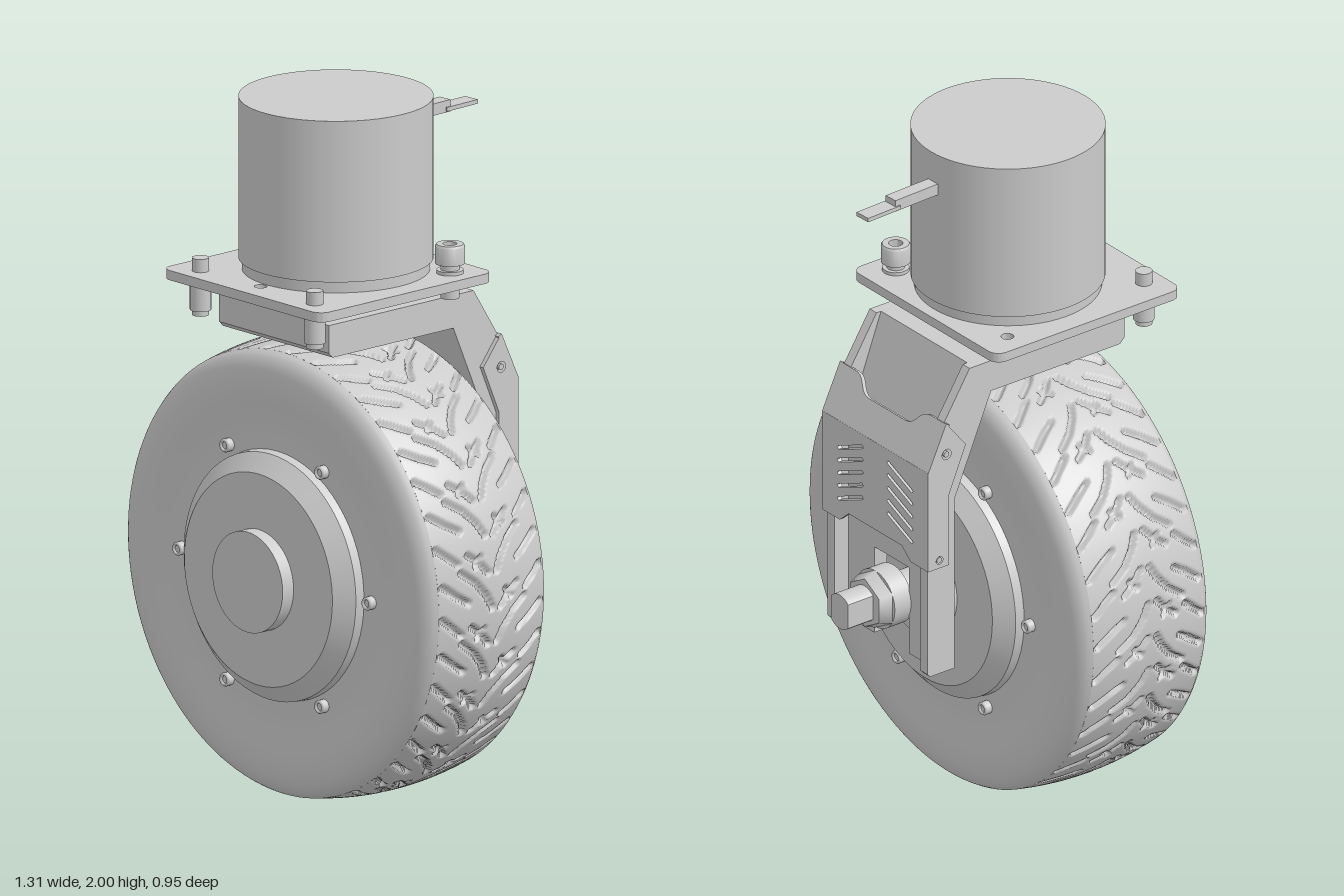
import * as THREE from 'three';
import { toCreasedNormals } from 'three/addons/utils/BufferGeometryUtils.js';

const AXLE_Y = 0.657, MID_Z = 0.116;
const V = (x, y) => new THREE.Vector2(x, y);

export function createModel() {
  const model = new THREE.Group();
  const mat = new THREE.MeshStandardMaterial({ color: 0xcccccc });
  const matDouble = new THREE.MeshStandardMaterial({ color: 0xcccccc, side: THREE.DoubleSide });

  const add = (name, geo, parent = model, material = mat) => {
    const mesh = new THREE.Mesh(geo, material);
    mesh.name = name;
    parent.add(mesh);
    return mesh;
  };
  // Upright cylinder between two heights
  const post = (name, r, y0, y1, x, z, seg = 24, parent = model) =>
    add(name, new THREE.CylinderGeometry(r, r, y1 - y0, seg).translate(x, (y0 + y1) / 2, z), parent);
  // Cylinder or cone along z, radius r0 at z0 and r1 at z1 (z1 > z0)
  const disc = (name, r0, r1, z0, z1, x = 0, y = AXLE_Y, seg = 48, parent = model) =>
    add(name, new THREE.CylinderGeometry(r1, r0, z1 - z0, seg).rotateX(Math.PI / 2).translate(x, y, (z0 + z1) / 2), parent);
  // Side profile of [z, y] points, extruded from x0 to x1
  const sideProfile = (name, pts, x0, x1, parent, holes = []) => {
    const shape = new THREE.Shape(pts.map(([z, y]) => V(z, y)));
    for (const [z, y, r] of holes) shape.holes.push(new THREE.Path().absarc(z, y, r, 0, Math.PI * 2, true));
    const geo = new THREE.ExtrudeGeometry(shape, { depth: x1 - x0, bevelEnabled: false, curveSegments: 8 });
    return add(name, geo.rotateY(-Math.PI / 2).translate(x1, 0, 0), parent);
  };
  const panel = (name, shape, depth, parent) =>
    add(name, new THREE.ExtrudeGeometry(shape, { depth, bevelEnabled: false, curveSegments: 10 }), parent);

  // ---- Wheel ----
  const wheel = new THREE.Group();
  wheel.name = 'wheel';
  wheel.position.set(0, AXLE_Y, MID_Z);
  model.add(wheel);

  const crown = (z) => 0.657 - 0.02 * (z / 0.195) ** 2;
  const tread = [];
  for (let i = 0; i <= 50; i++) {
    const z = -0.195 + 0.39 * i / 50;
    tread.push(V(crown(z), z));
  }
  const treadGeo = new THREE.LatheGeometry(tread, 720);

  // Tread grooves for one pitch of one half, as [around, across] lines
  const pitch = 2 * Math.PI * 0.655 / 20;
  const grooves = [
    [[0, 0.012], [0.035, 0.03], [0.08, 0.068], [0.115, 0.115]],
    [[0.1, 0.02], [0.135, 0.05], [0.16, 0.085]],
    [[0.125, 0.062], [0.148, 0.04]],
    [[0.025, 0.095], [0.05, 0.135], [0.085, 0.18]],
    [[0.14, 0.12], [0.165, 0.15], [0.195, 0.185]],
  ];
  const segDist = (u, v, [ax, ay], [bx, by]) => {
    const dx = bx - ax, dy = by - ay;
    const t = THREE.MathUtils.clamp(((u - ax) * dx + (v - ay) * dy) / (dx * dx + dy * dy), 0, 1);
    return Math.hypot(u - ax - t * dx, v - ay - t * dy);
  };
  const pos = treadGeo.attributes.position;
  for (let i = 0; i < pos.count; i++) {
    const x = pos.getX(i), v = pos.getY(i), z = pos.getZ(i), r = Math.hypot(x, z);
    const around = (Math.atan2(x, z) + Math.PI * 2) * 0.655 + (v < 0 ? pitch / 2 : 0);
    const u = around % pitch;
    let d = 1;
    for (const line of grooves)
      for (let k = 1; k < line.length; k++)
        for (const shift of [-pitch, 0, pitch])
          d = Math.min(d, segDist(u + shift, Math.abs(v), line[k - 1], line[k]));
    const scale = 1 - 0.016 * (1 - THREE.MathUtils.smoothstep(d, 0.004, 0.0105)) / r;
    pos.setXYZ(i, x * scale, v, z * scale);
  }
  treadGeo.computeVertexNormals();
  add('tyreTread', treadGeo.rotateX(Math.PI / 2), wheel);

  // Sidewalls, hub covers and rim screws on both faces
  for (const s of [1, -1]) {
    const side = new THREE.Group();
    side.name = s > 0 ? 'frontWheelFace' : 'backWheelFace';
    if (s < 0) side.rotation.y = Math.PI;
    wheel.add(side);
    const wall = new THREE.SplineCurve([V(0.637, 0.195), V(0.624, 0.213), V(0.6, 0.227), V(0.565, 0.234),
      V(0.52, 0.234), V(0.47, 0.228), V(0.42, 0.223), V(0.34, 0.222)]).getPoints(28);
    add('tyreSidewall', new THREE.LatheGeometry(wall, 128).rotateX(Math.PI / 2), side, matDouble);
    disc('hubRim', 0.36, 0.355, 0.2, 0.25, 0, 0, 64, side);
    disc('hubBevel', 0.355, 0.305, 0.25, 0.293, 0, 0, 64, side);
    disc('hubCap', 0.145, 0.145, 0.28, 0.334, 0, 0, 48, side);
    for (let i = 0; i < 6; i++) {
      const a = i * Math.PI / 3, x = 0.39 * Math.cos(a), y = 0.39 * Math.sin(a);
      disc('rimScrew', 0.019, 0.019, 0.21, 0.24, x, y, 16, side);
      add('rimScrewLip', new THREE.TorusGeometry(0.015, 0.005, 6, 16).translate(x, y, 0.241), side);
    }
  }

  // ---- Axle with flats and nut ----
  const axle = new THREE.Shape();
  const flat = Math.acos(0.038 / 0.053);
  axle.absarc(0, 0, 0.053, flat, Math.PI - flat);
  axle.absarc(0, 0, 0.053, Math.PI + flat, 2 * Math.PI - flat);
  panel('axle', axle, 0.3, model).position.set(0, AXLE_Y, -0.478);
  disc('axleSpacer', 0.053, 0.053, -0.3, -0.2);
  disc('axleWasher', 0.088, 0.088, -0.352, -0.29);
  disc('axleNut', 0.075, 0.09, -0.39, -0.352, 0, AXLE_Y, 6);

  // ---- Fork ----
  const fork = new THREE.Group();
  fork.name = 'fork';
  model.add(fork);
  sideProfile('forkTop', [[0.35, 1.345], [0.335, 1.33], [-0.12, 1.33], [-0.16, 1.425], [0.35, 1.425]], -0.2, 0.2, fork);
  sideProfile('forkSlope', [[-0.12, 1.33], [-0.25, 1.03], [-0.29, 1.03], [-0.29, 1.13], [-0.18, 1.425], [-0.16, 1.425]], -0.2, 0.2, fork);
  const cheek = [[0.35, 1.425], [0.35, 1.345], [0.335, 1.33], [-0.12, 1.33], [-0.25, 1.03], [-0.25, 0.5],
    [-0.335, 0.5], [-0.345, 0.51], [-0.345, 1.15], [-0.285, 1.285], [-0.196, 1.425]];
  for (const s of [1, -1]) {
    sideProfile('forkCheek', cheek, s > 0 ? 0.195 : -0.226, s > 0 ? 0.226 : -0.195, fork);
    add('forkLegWeb', new THREE.BoxGeometry(0.12, 0.55, 0.045).translate(s * 0.138, 0.775, -0.2725), fork);
  }
  add('forkWeb', new THREE.BoxGeometry(0.4, 0.3, 0.045).translate(0, 0.92, -0.2725), fork);

  // ---- Slotted cover over the fork ----
  const cover = new THREE.Group();
  cover.name = 'forkCover';
  model.add(cover);
  const lower = new THREE.Shape([V(-0.24, 0.84), V(-0.16, 0.84), V(-0.12, 0.875), V(0.12, 0.875), V(0.16, 0.84),
    V(0.24, 0.84), V(0.24, 1.15), V(-0.24, 1.15)]);
  for (const s of [1, -1])
    for (let i = 0; i < 5; i++) {
      const y = 0.905 + i * 0.04, w = 0.006;
      lower.holes.push(new THREE.Path([V(s * 0.06, y + 0.045 - w), V(s * 0.165, y - w), V(s * 0.172, y),
        V(s * 0.165, y + w), V(s * 0.06, y + 0.045 + w), V(s * 0.053, y + 0.045)]));
    }
  panel('coverBack', lower, 0.014, cover).position.z = -0.353;
  const upper = new THREE.Shape([V(-0.24, 0), V(0.24, 0), V(0.24, 0.15), V(0.17, 0.15)]);
  upper.bezierCurveTo(0.12, 0.15, 0.13, 0.1, 0.08, 0.1);
  upper.lineTo(-0.08, 0.1);
  upper.bezierCurveTo(-0.13, 0.1, -0.12, 0.15, -0.17, 0.15);
  upper.lineTo(-0.24, 0.15);
  const slope = panel('coverSlope', upper, 0.014, cover);
  slope.position.set(0, 1.149, -0.353);
  slope.rotation.x = Math.atan2(0.065, 0.14);
  const flange = [[-0.288, 1.286], [-0.22, 1.2], [-0.28, 1.06], [-0.28, 0.84], [-0.352, 0.84], [-0.352, 1.15]];
  for (const x of [0.226, -0.24])
    sideProfile('coverFlange', flange, x, x + 0.014, cover, [[-0.288, 1.19, 0.016], [-0.313, 0.865, 0.012]]);
  for (const s of [1, -1])
    for (const [z, y] of [[-0.288, 1.19], [-0.313, 0.865]])
      add('coverScrew', new THREE.CylinderGeometry(0.009, 0.009, 0.02, 12).rotateZ(Math.PI / 2).translate(s * 0.23, y, z), cover);

  // ---- Mounting plate with rounded corners ----
  const h = 0.328, c = 0.035, cz = 0.147;
  const plate = new THREE.Shape();
  [[1, 1], [-1, 1], [-1, -1], [1, -1]].forEach(([sx, sy], i) =>
    plate.absarc(sx * (h - c), sy * (h - c) - cz, c, i * Math.PI / 2, (i + 1) * Math.PI / 2));
  for (const [x, z, r] of [[-0.255, -0.085, 0.018], [0, 0.4, 0.018]])
    plate.holes.push(new THREE.Path().absarc(x, -z, r, 0, Math.PI * 2, true));
  const plateGeo = new THREE.ExtrudeGeometry(plate, { depth: 0.028, bevelEnabled: false, curveSegments: 10 });
  add('mountingPlate', toCreasedNormals(plateGeo.rotateX(-Math.PI / 2).translate(0, 1.474, 0), 0.6));
  post('swivelBearing', 0.205, 1.432, 1.474, 0, MID_Z, 48);
  post('bearingCollar', 0.18, 1.42, 1.44, 0, MID_Z, 48);

  // Front pins and the rear cap screw
  for (const x of [0.235, -0.235]) {
    post('pinTop', 0.024, 1.49, 1.54, x, 0.412);
    post('pinBody', 0.03, 1.39, 1.475, x, 0.412);
    post('pinTip', 0.024, 1.375, 1.392, x, 0.412);
  }
  post('capScrewShank', 0.026, 1.43, 1.54, 0.25, -0.085);
  post('capScrewWasher', 0.038, 1.5, 1.512, 0.25, -0.085);
  const socketHead = [V(0.026, 1.53), V(0.042, 1.53), V(0.042, 1.58), V(0.038, 1.586), V(0.02, 1.586), V(0.02, 1.56), V(0, 1.56)];
  add('capScrewHead', toCreasedNormals(new THREE.LatheGeometry(socketHead, 24).translate(0.25, 0, -0.085), 0.6));

  // ---- Steering motor and its cable ----
  post('motorBase', 0.262, 1.5, 1.535, 0, MID_Z, 64);
  post('motorBody', 0.272, 1.535, 2.0, 0, MID_Z, 64);
  const cable = new THREE.Group();
  cable.name = 'motorCable';
  cable.position.set(-0.008, 1.89, -0.14);
  cable.rotation.y = 0.04;
  model.add(cable);
  add('cableSleeve', new THREE.BoxGeometry(0.042, 0.034, 0.17).translate(0, 0.003, -0.085), cable);
  add('cableTab', new THREE.BoxGeometry(0.05, 0.012, 0.12).translate(0, -0.005, -0.213), cable);
  return model;
}
